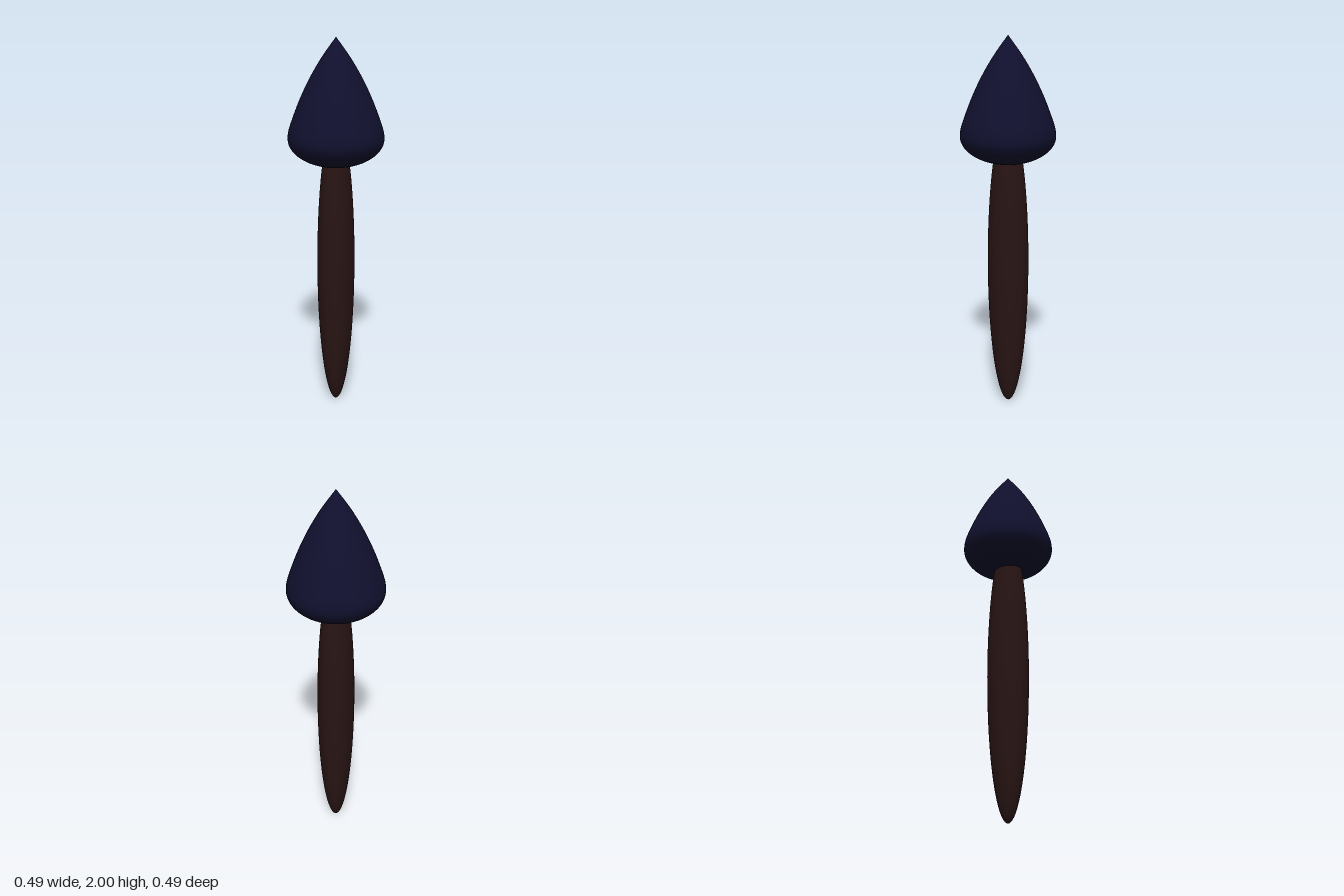
import * as THREE from 'three';

export function createModel() {
  const model = new THREE.Group();

  // Handle: long ellipsoid, slightly deeper than wide
  const handle = new THREE.Mesh(
    new THREE.SphereGeometry(1, 48, 48),
    new THREE.MeshStandardMaterial({ color: 0x281414 })
  );
  handle.name = 'handle';
  handle.scale.set(0.097, 0.8, 0.113);
  handle.position.y = 0.8;
  model.add(handle);

  // Head: rounded elliptical underside sweeping up to a sharp tip
  const maxRadius = 0.247, widestY = 1.5, drop = 0.145;
  const profile = [];
  for (let i = 0; i < 16; i++) {
    const a = (i / 16) * Math.PI / 2;
    profile.push(new THREE.Vector2(maxRadius * Math.sin(a), widestY - drop * Math.cos(a)));
  }
  const upper = new THREE.SplineCurve([
    [maxRadius, widestY], [0.242, 1.54], [0.222, 1.6], [0.182, 1.7],
    [0.133, 1.8], [0.073, 1.9], [0, 2],
  ].map(([r, y]) => new THREE.Vector2(r, y)));
  profile.push(...upper.getPoints(30));
  const head = new THREE.Mesh(
    new THREE.LatheGeometry(profile, 64),
    new THREE.MeshStandardMaterial({ color: 0x10102e })
  );
  head.name = 'pointedHead';
  model.add(head);

  return model;
}
